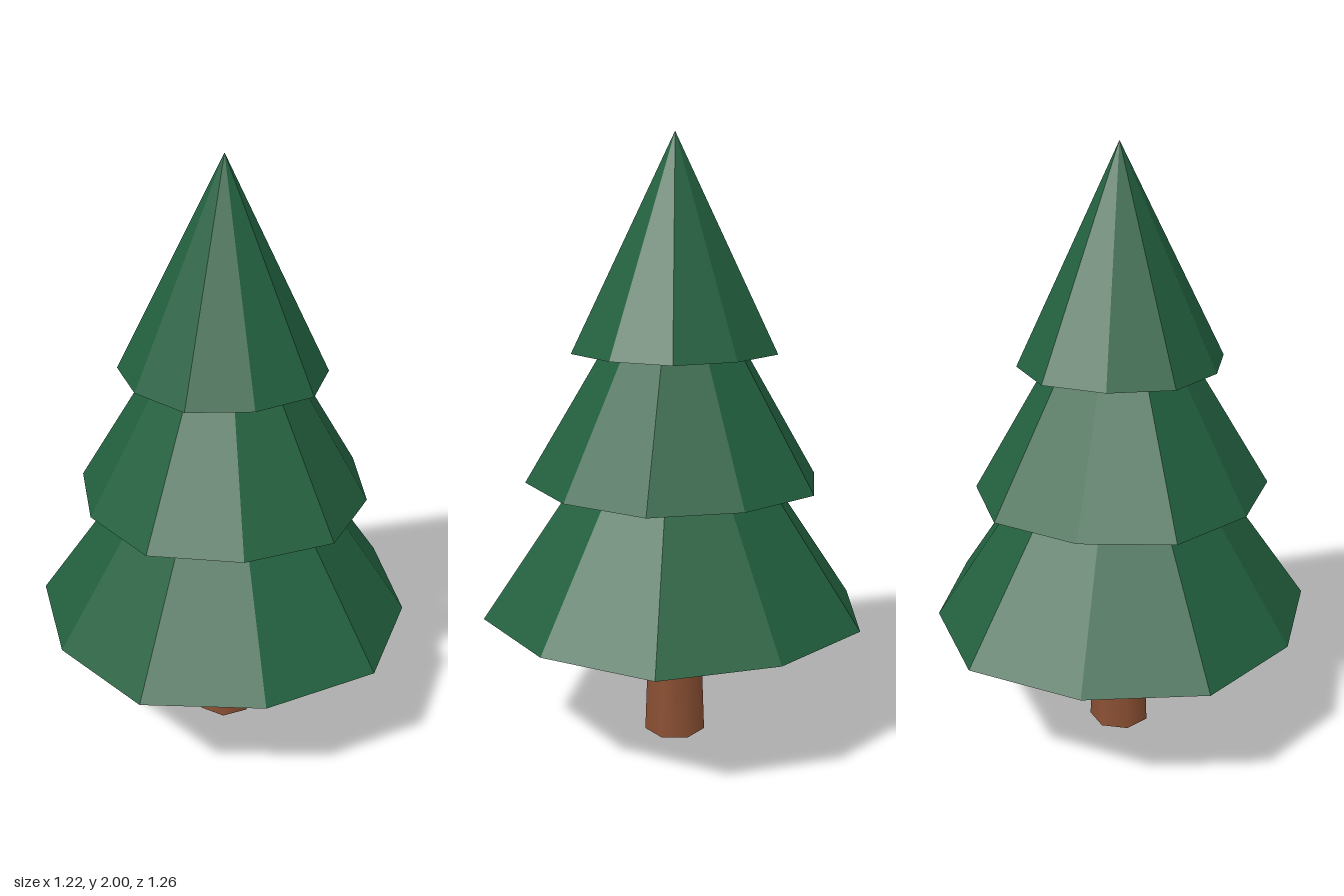
import * as THREE from 'three';

const AXIS_Z = -0.013; // the tree axis sits slightly behind the centre

// Ten-sided cone whose rim corners alternate slightly out and in
function foliageTier(name, radius, bottom, top, turn, material) {
  const sides = 10;
  const height = top - bottom;
  const geometry = new THREE.ConeGeometry(radius, height, sides, 1);
  const pos = geometry.attributes.position;
  for (let i = 0; i < pos.count; i++) {
    const x = pos.getX(i), z = pos.getZ(i);
    if (Math.hypot(x, z) < radius / 2) continue;
    const corner = Math.round(Math.atan2(x, z) / (Math.PI * 2 / sides));
    const k = corner % 2 === 0 ? 1.02 : 0.98;
    pos.setX(i, x * k);
    pos.setZ(i, z * k);
  }
  geometry.computeVertexNormals();
  const mesh = new THREE.Mesh(geometry, material);
  mesh.name = name;
  mesh.position.set(0, bottom + height / 2, AXIS_Z);
  mesh.rotation.y = THREE.MathUtils.degToRad(turn);
  return mesh;
}

export function createModel() {
  const tree = new THREE.Group();
  tree.name = 'pineTree';

  const bark = new THREE.MeshStandardMaterial({ color: 0x8b5033 });
  const needles = new THREE.MeshStandardMaterial({ color: 0x22603f, flatShading: true });

  // Tapered, smooth-shaded trunk
  const trunkHeight = 0.48;
  const trunk = new THREE.Mesh(new THREE.CylinderGeometry(0.086, 0.104, trunkHeight, 7), bark);
  trunk.name = 'trunk';
  trunk.position.set(0, trunkHeight / 2, AXIS_Z);
  tree.add(trunk);

  // Three overlapping tiers, each turned a little
  const tiers = [
    ['lowerFoliage', 0.63, 0.445, 1.37, 0],
    ['middleFoliage', 0.483, 0.888, 1.71, -4.8],
    ['upperFoliage', 0.337, 1.315, 2, 4],
  ];
  for (const tier of tiers) tree.add(foliageTier(...tier, needles));

  return tree;
}
